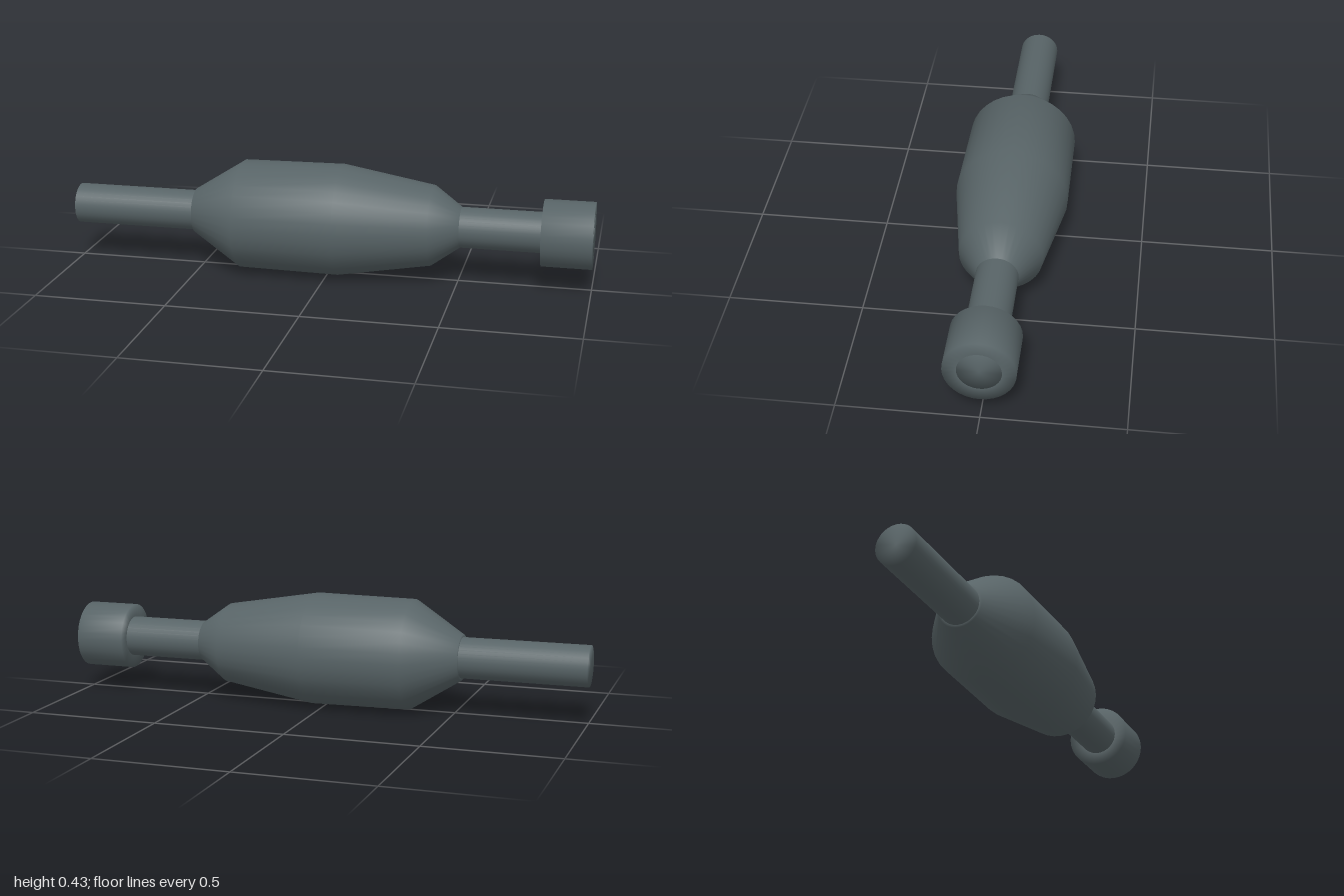
import * as THREE from 'three';

const AXIS_HEIGHT = 0.2125;
const SIDES = 32;

export function createModel() {
  const model = new THREE.Group();
  const slate = new THREE.MeshStandardMaterial({ color: 0x586467 });
  slate.name = 'slate grey';

  // Turned part along x; the profile lists [x, radius] from -x to +x
  function turned(name, profile) {
    const points = profile.map(([x, r]) => new THREE.Vector2(r, x));
    const geometry = new THREE.LatheGeometry(points, SIDES);
    geometry.rotateZ(-Math.PI / 2);
    const mesh = new THREE.Mesh(geometry, slate);
    mesh.name = name;
    mesh.position.y = AXIS_HEIGHT;
    model.add(mesh);
  }

  // Straight rod through the whole length, closed at both ends
  turned('rod', [[-1, 0], [-1, 0.077], [1, 0.077], [1, 0]]);

  // Swollen faceted-profile grip
  turned('grip', [
    [-0.525, 0.07], [-0.525, 0.087], [-0.335, 0.208],
    [0.05, 0.2125], [0.4, 0.153], [0.508, 0.076],
  ]);

  // Wide end collar whose face is filled by the rod end
  turned('endCollar', [[0.812, 0.07], [0.812, 0.126], [1, 0.126], [1, 0.077]]);

  return model;
}
